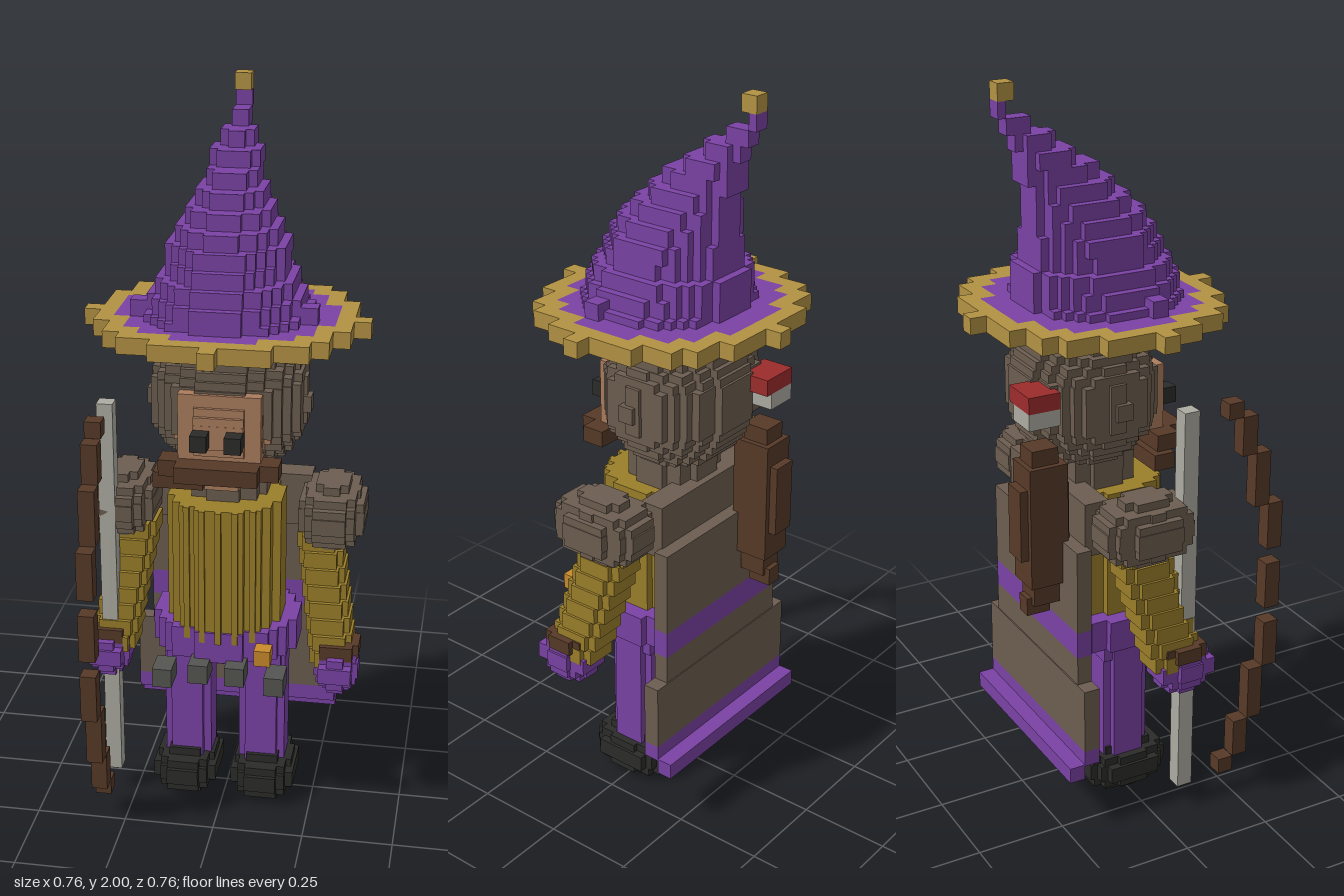
import * as THREE from 'three';
import { mergeGeometries } from 'three/addons/utils/BufferGeometryUtils.js';

const U = 2 / 45; // voxel edge
const PURPLE = 0x7a42a5, GOLD = 0xb39243, SHIRT = 0x9a7e2a, HOOD = 0x6c5d50, SKIN = 0xab7c5d,
  WOOD = 0x573a28, BLACK = 0x2b2b29, STRING = 0xadaca2, RED = 0x9c2c2c, GREY = 0x555552, ORANGE = 0xc98a2c;

// box given by its min and max on each axis
function box(x0, x1, y0, y1, z0, z1) {
  return new THREE.BoxGeometry(x1 - x0, y1 - y0, z1 - z0)
    .translate((x0 + x1) / 2, (y0 + y1) / 2, (z0 + z1) / 2);
}

// one voxel layer of an elliptical disc, as rows along x; hole is the hollow fraction
function disc(cx, cz, rx, rz, y0, y1, hole = 0) {
  const n = Math.max(1, Math.round(4 * rz / U)), d = 2 * rz / n, out = [];
  for (let i = 0; i < n; i++) {
    const z0 = cz - rz + i * d, t = (z0 + d / 2 - cz) / rz;
    const snap = (w) => Math.max(U / 2, Math.round(w / (U / 2)) * U / 2);
    const w = Math.min(rx, snap(rx * Math.sqrt(1 - t * t) + U * 0.1));
    const h = hole * hole - t * t;
    const wi = h > 0 ? Math.min(w - U / 2, snap(rx * Math.sqrt(h))) : 0;
    if (wi > 0) {
      out.push(box(cx - w, cx - wi, y0, y1, z0, z0 + d), box(cx + wi, cx + w, y0, y1, z0, z0 + d));
    } else out.push(box(cx - w, cx + w, y0, y1, z0, z0 + d));
  }
  return out;
}

// voxel ellipsoid
function blob(cx, cy, cz, rx, ry, rz) {
  const n = Math.max(2, Math.round(4 * ry / U)), d = 2 * ry / n, out = [];
  for (let i = 0; i < n; i++) {
    const y0 = cy - ry + i * d, t = (y0 + d / 2 - cy) / ry;
    const s = Math.min(1, Math.sqrt(1 - t * t) + 0.04);
    out.push(...disc(cx, cz, rx * s, rz * s, y0, y0 + d));
  }
  return out;
}

export function createModel() {
  const model = new THREE.Group();
  const part = (name, color, geos) => {
    const mesh = new THREE.Mesh(mergeGeometries(geos),
      new THREE.MeshStandardMaterial({ color, flatShading: true }));
    mesh.name = name;
    model.add(mesh);
  };

  // hat brim: purple disc with a gold rim, open under the cone
  const rim = [], brim = [];
  for (let k = -8; k <= 7; k++) {
    const q = k > 0 ? k + 1 : k;
    for (let i = -8; i <= 8; i++) {
      const r = i * i + q * q;
      if (r > 64 || r < 19) continue;
      (r > 41 ? rim : brim).push(
        box((i - 0.5) * U, (i + 0.5) * U, 31 * U, 32 * U, (k - 0.5) * U, (k + 0.5) * U));
    }
  }
  part('hatRim', GOLD, rim);
  part('hatBrim', PURPLE, brim);

  // hollow hat cone, leaning back: [front z, back z, half width] per layer, in voxels
  const layers = [
    [4.5, -5, 5], [4.5, -5, 4.5], [4, -5, 4], [3.5, -4.5, 3.5], [3, -4.5, 3.5], [2.5, -4.5, 3],
    [1.5, -4.5, 2.5], [0.5, -4.5, 2], [-0.5, -5, 1.5], [-2, -5, 1.5], [-3, -5.5, 1], [-4.5, -6, 0.5],
    [-6, -6.5, 0.5],
  ];
  const cone = [];
  layers.forEach(([f, b, w], i) => {
    const h = 12.5 / 13 * U, y = 31.5 * U + i * h;
    cone.push(...disc(0, (f + b) / 2 * U, w * U, (f - b) / 2 * U, y, y + h, w < 2 ? 0 : 1 - 1 / w));
  });
  for (const s of [-1, 1]) cone.push(box(s * 5 * U - U / 2, s * 5 * U + U / 2, 32 * U, 33 * U, U / 2, 1.5 * U));
  part('hatCone', PURPLE, cone);
  part('hatTip', GOLD, [box(-U / 2, U / 2, 44 * U, 45 * U, -6.5 * U, -5.5 * U)]);

  // hooded head
  part('hood', HOOD, [
    ...blob(0, 1.18, -0.055, 0.21, 0.2, 0.18),
    ...[-1, 1].map((s) => box(s * 0.21 - 0.012, s * 0.21 + 0.012, 1.15, 1.195, -0.065, -0.02)),
  ]);
  part('face', SKIN, [
    ...blob(0, 1.14, 0.045, 0.13, 0.11, 0.11),
    box(-0.11, 0.11, 1.06, 1.24, 0.02, 0.135),
    box(-0.045, 0.045, 0.96, 1.03, 0, 0.1),
  ]);
  part('eyes', BLACK, [-1, 1].map((s) => box(s * 0.045 - 0.022, s * 0.045 + 0.022, 1.105, 1.15, 0.13, 0.2)));
  part('moustache', WOOD, [
    box(-0.16, 0.16, 1.015, 1.06, 0.09, 0.155),
    box(-0.11, 0.11, 1.015, 1.06, 0.155, 0.2),
    box(-0.18, -0.045, 0.97, 1.015, 0.07, 0.13),
  ]);

  // round torso with ribbed front, neck and upper back
  const shirt = disc(0, 0, 0.157, 0.15, 0.53, 0.92);
  for (const x of [-0.09, -0.045, 0, 0.045, 0.09]) {
    const z = Math.sqrt(0.157 ** 2 - x * x);
    shirt.push(box(x - 0.008, x + 0.008, 0.53, 0.92, 0.05, z + 0.008));
  }
  part('shirt', SHIRT, shirt);
  part('neck', HOOD, disc(0, -0.03, 0.11, 0.11, 0.91, 1.03));
  part('upperBack', HOOD, [box(-0.22, 0.22, 0.79, 0.94, -0.16, -0.09)]);

  // shoulders, slanting arms and hands
  const pads = [], arms = [], hands = [], cuffs = [];
  for (const s of [-1, 1]) {
    pads.push(...blob(s * 0.288, 0.875, -0.022, 0.09, 0.09, 0.133));
    for (let i = 0; i < 8; i++) {
      const t = i / 7, y = 0.82 - i * U;
      arms.push(...disc(s * (0.256 + 0.048 * t), -0.025 + 0.08 * t, 0.06, 0.072, y - U, y));
    }
    cuffs.push(...disc(s * 0.318, 0.07, 0.06, 0.06, 0.49, 0.53));
    hands.push(...blob(s * 0.318, 0.455, 0.078, 0.06, 0.067, 0.08));
  }
  part('shoulderPads', HOOD, pads);
  part('sleeves', SHIRT, arms);
  part('cuffs', WOOD, cuffs);
  part('hands', PURPLE, hands);

  // belt, hips, pouches and buckle
  part('belt', PURPLE, [
    ...disc(0, -0.015, 0.2, 0.172, 0.47, 0.56),
    box(-0.16, 0.16, 0.42, 0.48, -0.07, 0.07),
  ]);
  part('pouches', GREY, [-0.155, -0.05, 0.05, 0.155].map((x, i) => {
    const y = i % 3 ? 0.425 : 0.39, z = i % 3 ? 0.2 : 0.175;
    return box(x - 0.027, x + 0.027, y, y + 0.055, z - 0.08, z);
  }));
  part('buckle', ORANGE, [box(0.111, 0.155, 0.52, 0.565, 0.2, 0.245)]);

  // legs and boots
  const legs = [], boots = [];
  for (const s of [-1, 1]) {
    legs.push(...disc(s * 0.105, 0, 0.065, 0.067, 0.1, 0.45));
    boots.push(...blob(s * 0.111, 0.07, 0.008, 0.089, 0.07, 0.118));
  }
  part('legs', PURPLE, legs);
  part('boots', BLACK, boots);

  // cape widening and stepping outwards, with purple bands
  part('cape', HOOD, [
    box(-0.245, 0.245, 0.585, 0.82, -0.197, -0.155),
    box(-0.245, 0.245, 0.42, 0.51, -0.197, -0.155),
    box(-0.289, 0.289, 0.245, 0.43, -0.2, -0.155),
  ]);
  part('capeBands', PURPLE, [
    box(-0.245, 0.245, 0.51, 0.585, -0.197, -0.155),
    box(-0.289, 0.289, 0.2, 0.245, -0.2, -0.155),
    box(-0.289, 0.289, 0.16, 0.205, -0.244, -0.2),
  ]);

  // quiver with fletching on the back
  part('quiver', WOOD, [
    box(-0.165, -0.065, 0.7, 1.04, -0.289, -0.18),
    box(-0.15, -0.08, 0.64, 1.085, -0.275, -0.2),
    box(-0.15, -0.08, 0.78, 0.98, -0.311, -0.17),
    box(-0.135, -0.09, 0.61, 0.66, -0.289, -0.222),
  ]);
  part('fletchingTop', RED, [box(-0.165, -0.055, 1.195, 1.24, -0.289, -0.2)]);
  part('fletchingBase', STRING, [box(-0.165, -0.075, 1.15, 1.195, -0.289, -0.2)]);

  // bow and string, mirrored about mid height
  const limbs = [box(-0.333, -0.289, 0.565, 0.7, 0.333, 0.378)];
  const steps = [[0.333, 0.745, 0.88], [0.289, 0.88, 1.035], [0.245, 1.035, 1.145], [0.2, 1.145, 1.19]];
  for (const [z, a, b] of steps) {
    limbs.push(box(-0.333, -0.289, a, b, z, z + U));
    limbs.push(box(-0.333, -0.289, 1.265 - b, 1.265 - a, z, z + U));
  }
  part('bow', WOOD, limbs);
  part('bowString', STRING, [box(-0.333, -0.289, 0.075, 1.19, 0.067, 0.111)]);

  return model;
}
